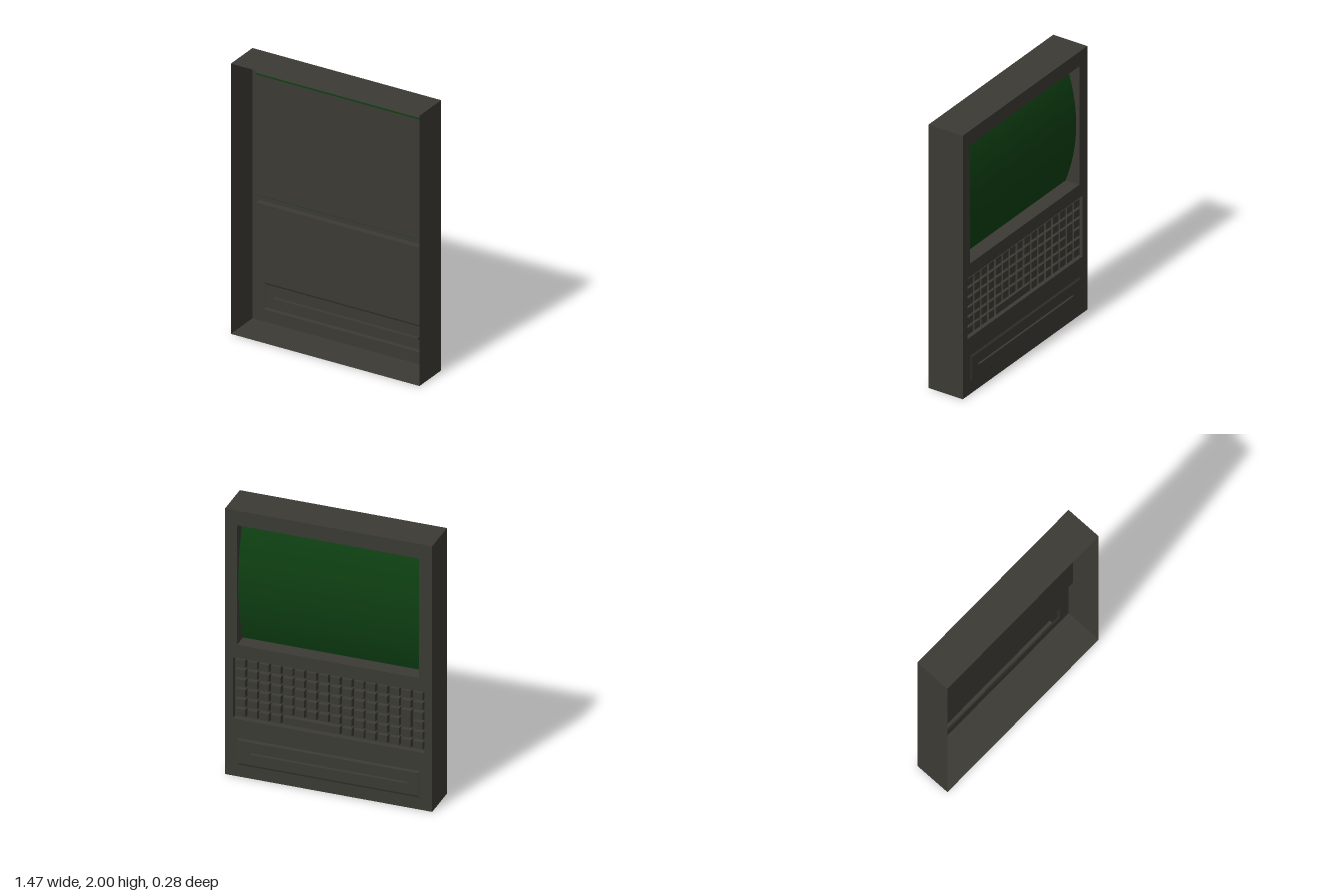
import * as THREE from 'three';
import { toCreasedNormals } from 'three/addons/utils/BufferGeometryUtils.js';

const casing = new THREE.MeshStandardMaterial({ color: 0x3b3a33, side: THREE.DoubleSide });
casing.name = 'dark grey casing';
const glass = new THREE.MeshStandardMaterial({ color: 0x0e3f12, side: THREE.DoubleSide });
glass.name = 'dark green glass';

const FRONT = 0.14, FACE = -0.133, BUMP = -0.14;

// Rectangles are [x0, y0, x1, y1]
const BODY = [-0.735, 0, 0.735, 2];
const SCREEN = [-0.64, 0.99, 0.65, 1.89];
const KEYS = [-0.68, 0.43, 0.68, 0.89];
const BUMP_BASE = [-0.65, 0.09, 0.65, 0.29];
const BUMP_TOP = [-0.63, 0.105, 0.63, 0.275];
const SLOT = [-0.56, 0.183, 0.56, 0.197];

const corners = ([x0, y0, x1, y1]) => [[x0, y0], [x1, y0], [x1, y1], [x0, y1]];
const outline = (r) => corners(r).map(([x, y]) => new THREE.Vector2(x, y));

// Flat sheet with rectangular openings
function sheet(rect, z, holes = []) {
  const shape = new THREE.Shape(outline(rect));
  holes.forEach((h) => shape.holes.push(new THREE.Path(outline(h))));
  return new THREE.ShapeGeometry(shape).translate(0, 0, z);
}

// Four walls joining one rectangle to another
function walls(rectA, zA, rectB, zB) {
  const a = corners(rectA), b = corners(rectB), p = [];
  for (let i = 0; i < 4; i++) {
    const j = (i + 1) % 4;
    const A = [...a[i], zA], B = [...a[j], zA], C = [...b[j], zB], D = [...b[i], zB];
    p.push(...A, ...B, ...C, ...A, ...C, ...D);
  }
  const g = new THREE.BufferGeometry();
  g.setAttribute('position', new THREE.Float32BufferAttribute(p, 3));
  g.computeVertexNormals();
  return g;
}

// Key cap narrowing slightly towards its top at -z
function keyCap(w, h, d) {
  const g = new THREE.BoxGeometry(w, h, d), pos = g.attributes.position;
  for (let i = 0; i < pos.count; i++) {
    if (pos.getZ(i) < 0) {
      pos.setX(i, pos.getX(i) - Math.sign(pos.getX(i)) * 0.004);
      pos.setY(i, pos.getY(i) - Math.sign(pos.getY(i)) * 0.004);
    }
  }
  g.computeVertexNormals();
  return g;
}

export function createModel() {
  const model = new THREE.Group();
  model.name = 'computerTerminal';
  const add = (name, geometry, material = casing, parent = model) => {
    const mesh = new THREE.Mesh(geometry, material);
    mesh.name = name;
    parent.add(mesh);
    return mesh;
  };

  // Hollow casing, open at +z
  add('casingSides', walls(BODY, FRONT, BODY, FACE));
  add('facePanel', sheet(BODY, FACE, [SCREEN, KEYS, BUMP_BASE]));

  // Screen recess with curved glass and backing
  add('screenRecess', walls(SCREEN, FACE, SCREEN, -0.02));
  const profile = new THREE.Shape();
  profile.moveTo(0.015, SCREEN[1]);
  profile.lineTo(0.023, SCREEN[1]);
  profile.quadraticCurveTo(0.193, (SCREEN[1] + SCREEN[3]) / 2, 0.023, SCREEN[3]);
  profile.lineTo(0.015, SCREEN[3]);
  const tube = new THREE.ExtrudeGeometry(profile, {
    depth: SCREEN[2] - SCREEN[0], bevelEnabled: false, curveSegments: 24,
  });
  tube.rotateY(Math.PI / 2).translate(SCREEN[0], 0, 0);
  add('screenGlass', toCreasedNormals(tube, 0.5), glass);
  add('screenBacking', sheet([SCREEN[0], SCREEN[1] + 0.004, SCREEN[2], SCREEN[3] - 0.008], -0.012));

  // Keyboard tray
  const tray = FACE + 0.045;
  add('keyboardRecess', walls(KEYS, FACE, KEYS, tray));
  add('keyboardTray', sheet(KEYS, tray));

  // Keys: column 0 is at +x, row 0 at the top
  const keyboard = new THREE.Group();
  keyboard.name = 'keyboard';
  model.add(keyboard);
  const cols = 16, rows = 6, gap = 0.012, depth = 0.033;
  const px = 1.344 / cols, py = 0.444 / rows;
  const addKey = (name, c, r, w = 1, h = 1) => {
    const key = add(name, keyCap(w * px - gap, h * py - gap, depth), casing, keyboard);
    key.position.set(0.672 - (c + w / 2) * px, 0.882 - (r + h / 2) * py, tray - depth / 2);
  };
  for (let r = 0; r < rows; r++) {
    for (let c = 0; c < cols; c++) {
      const inSpace = r === 5 && c >= 4 && c < 9;
      const inEnter = c === 14 && (r === 2 || r === 3);
      if (!inSpace && !inEnter) addKey('key', c, r);
    }
  }
  addKey('spaceBar', 4, 5, 5, 1);
  addKey('tallKey', 14, 2, 1, 2);

  // Raised drive panel with a slot
  add('drivePanelBevel', walls(BUMP_BASE, FACE, BUMP_TOP, BUMP));
  add('drivePanel', sheet(BUMP_TOP, BUMP, [SLOT]));
  add('driveSlotSides', walls(SLOT, BUMP, SLOT, BUMP + 0.025));
  add('driveSlotBottom', sheet(SLOT, BUMP + 0.025));

  return model;
}
